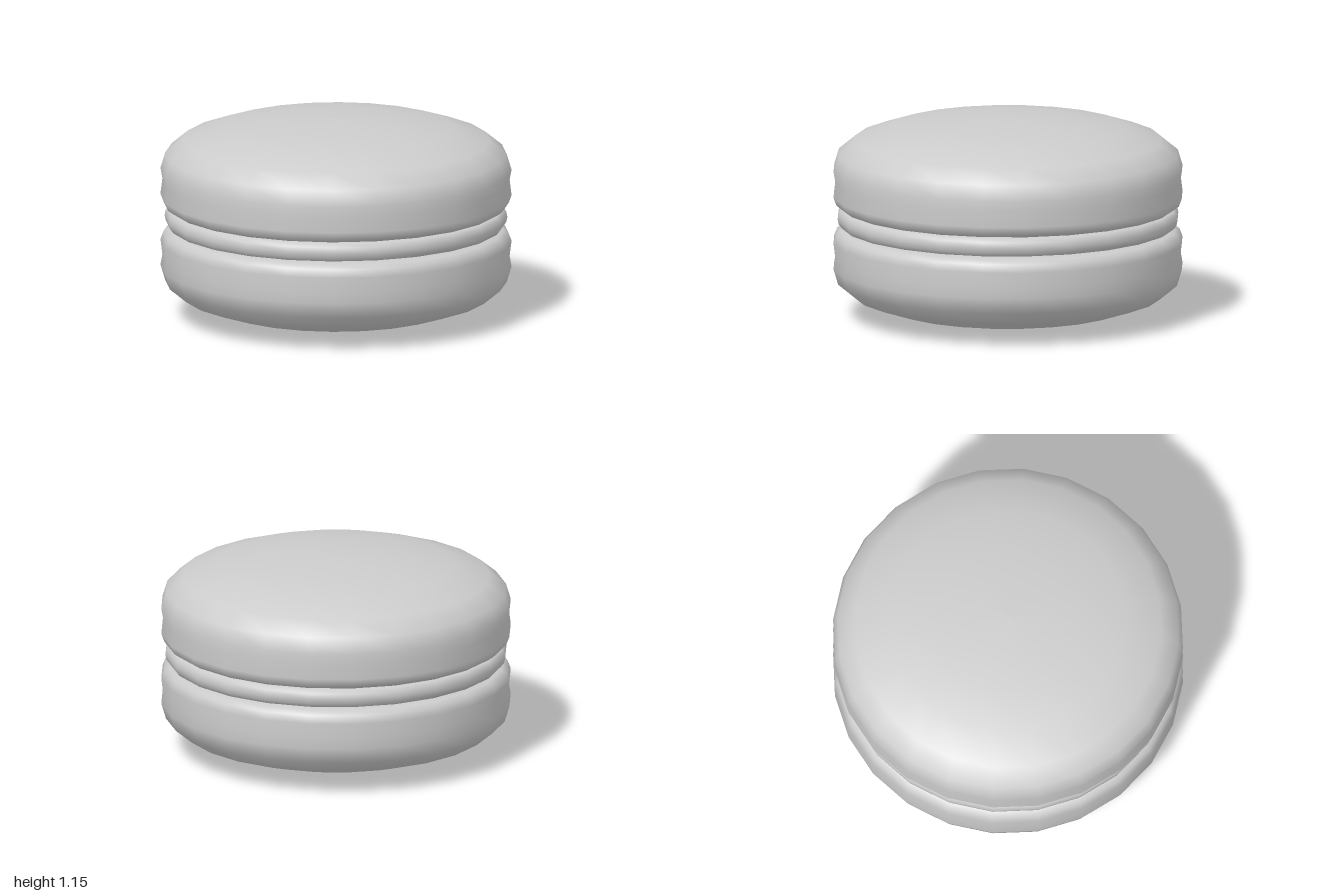
import * as THREE from 'three';

const SEGMENTS = 24;
const PHASE = THREE.MathUtils.degToRad(5);
const HEIGHT = 1.155;

// Domed shell, listed from the underside centre up to the crown
const SHELL = [
  [0, 0.64], [0.9, 0.64], [0.957, 0.645], [0.985, 0.665], [1.002, 0.71], [0.991, 0.8],
  [1.002, 0.86], [0.975, 0.95], [0.878, 1.03], [0.675, 1.097], [0.43, 1.132], [0.2, 1.15], [0, HEIGHT],
];

// Soft bulging layer between the shells
const FILLING = [
  [0, 0.526], [0.92, 0.526], [0.955, 0.533], [0.972, 0.555], [0.978, 0.585],
  [0.972, 0.615], [0.955, 0.634], [0.92, 0.642], [0, 0.642],
];

function turned(name, profile) {
  const points = profile.map(([r, y]) => new THREE.Vector2(r, y));
  const mesh = new THREE.Mesh(
    new THREE.LatheGeometry(points, SEGMENTS, PHASE),
    new THREE.MeshStandardMaterial({ color: 0xcccccc }),
  );
  mesh.name = name;
  return mesh;
}

export function createModel() {
  const group = new THREE.Group();
  group.name = 'macaron';
  // The lower shell is the upper one mirrored about mid-height
  const lower = SHELL.map(([r, y]) => [r, HEIGHT - y]).reverse();
  lower[lower.length - 1][1] = lower[lower.length - 2][1] = 0.526;
  group.add(
    turned('topShell', SHELL),
    turned('filling', FILLING),
    turned('bottomShell', lower),
  );
  return group;
}
